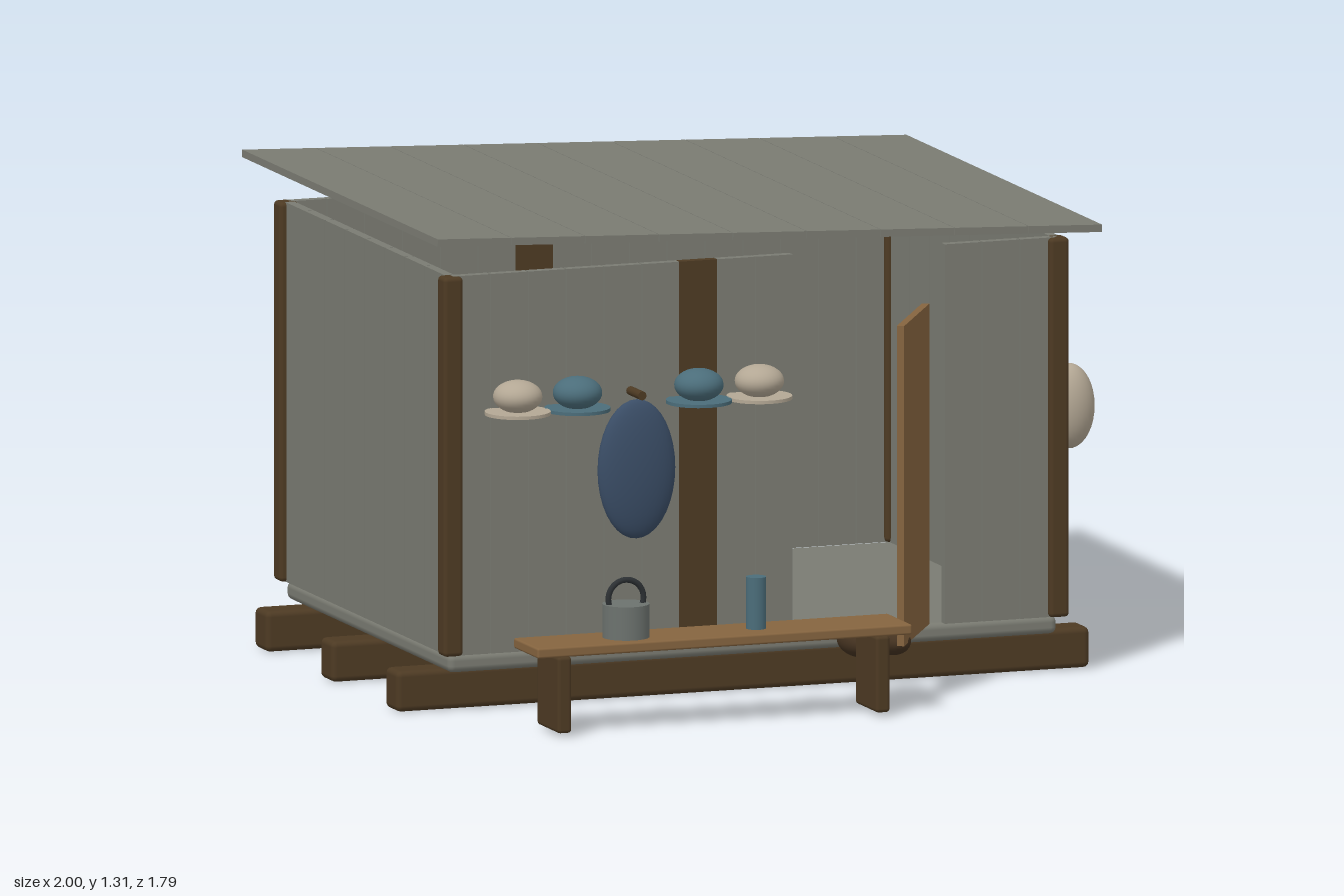
import * as THREE from 'three';
import { RoundedBoxGeometry } from 'three/addons/geometries/RoundedBoxGeometry.js';

const mat = (name, color) => {
  const m = new THREE.MeshStandardMaterial({ color });
  m.name = name;
  return m;
};

export function createModel() {
  const M = {
    plank: mat('weathered plank', 0x7a7b72),
    timber: mat('dark timber', 0x4d3a23),
    wood: mat('warm wood', 0x85643f),
    cream: mat('cream', 0xb3a794),
    teal: mat('teal', 0x4b6d7a),
    blue: mat('dark blue', 0x3a4d66),
    leather: mat('leather', 0x443220),
    metal: mat('metal', 0x6c726e),
    iron: mat('iron', 0x2c3033),
  };
  const model = new THREE.Group();
  model.name = 'cabin';

  const add = (name, geo, material, x, y, z, parent = model) => {
    const mesh = new THREE.Mesh(geo, material);
    mesh.name = name;
    mesh.position.set(x, y, z);
    parent.add(mesh);
    return mesh;
  };
  // Boxes given by their extents, sharp or with a small chamfer
  const box = (name, m, x0, x1, y0, y1, z0, z1, bevel = 0, parent = model) => {
    const s = [x1 - x0, y1 - y0, z1 - z0];
    const geo = bevel ? new RoundedBoxGeometry(...s, 2, bevel) : new THREE.BoxGeometry(...s);
    return add(name, geo, m, (x0 + x1) / 2, (y0 + y1) / 2, (z0 + z1) / 2, parent);
  };
  const ellipsoid = (name, m, x, y, z, rx, ry, rz, parent = model) => {
    const e = add(name, new THREE.SphereGeometry(1, 28, 18), m, x, y, z, parent);
    e.scale.set(rx, ry, rz);
    return e;
  };
  const group = (name) => {
    const g = new THREE.Group();
    g.name = name;
    model.add(g);
    return g;
  };

  // Skids and floor
  for (const z of [0.33, -0.16, -0.655]) box('skid', M.timber, -1, 0.97, 0, 0.11, z - 0.048, z + 0.048, 0.016);
  box('floor', M.plank, -0.88, 0.85, 0.11, 0.16, -0.782, 0.45, 0.018);

  // Walls of upright planks
  const Y0 = 0.16, Y1 = 1.185, gap = 0.0015;
  const X0 = -0.875, W = 0.1075;
  const longWall = (name, z, openFrom, openTo) => {
    const g = group(name);
    for (let i = 0; i < 16; i++) {
      if (i >= openFrom && i <= openTo) continue;
      const x = X0 + i * W, post = i === 6;
      box(post ? 'middle post' : 'plank', post ? M.timber : M.plank,
        x + gap, x + W - gap, Y0, Y1, z - 0.013, z + 0.013, 0, g);
    }
  };
  longWall('front wall', 0.452, 9, 12); // gap for the doorway
  longWall('back wall', -0.782, 99, 99);
  for (const x of [-0.875, 0.843]) {
    const g = group('side wall');
    for (let i = 0; i < 8; i++) {
      const z = -0.765 + i * 0.1503;
      box('plank', M.plank, x - 0.013, x + 0.013, Y0, Y1, z + gap, z + 0.1503 - gap, 0, g);
    }
  }
  for (const x of [-0.878, 0.845])
    for (const z of [0.455, -0.782])
      box('corner post', M.timber, x - 0.028, x + 0.028, Y0, Y1, z - 0.028, z + 0.028, 0.012);

  // Sloping plank roof
  const roof = group('roof');
  roof.position.set(-0.015, 1.26, -0.1625);
  roof.rotation.z = -Math.atan2(0.077, 1.89);
  for (let i = 0; i < 9; i++) {
    const x = -0.946 + i * 0.2102;
    box('roof plank', M.plank, x + 0.001, x + 0.2092, -0.01, 0.01, -0.7375, 0.7375, 0, roof);
  }

  // Open door, hinged on its right edge
  const door = group('door');
  door.position.set(0.468, 0, 0.47);
  door.rotation.y = Math.atan2(0.3, 0.185);
  box('door panel', M.wood, -0.353, 0, 0.165, 1.03, -0.01, 0.01, 0, door);

  // Bench
  const bench = group('bench');
  box('bench top', M.wood, -0.795, 0.27, 0.217, 0.245, 0.71, 0.893, 0.006, bench);
  for (const x of [-0.715, 0.19])
    box('bench leg', M.timber, x - 0.02, x + 0.02, 0.01, 0.217, 0.725, 0.888, 0.01, bench);

  // Pot with a hoop handle, and a tall cup
  add('pot', new THREE.CylinderGeometry(0.063, 0.063, 0.09, 28), M.metal, -0.51, 0.29, 0.802);
  add('pot handle', new THREE.TorusGeometry(0.05, 0.008, 10, 28), M.iron, -0.51, 0.349, 0.802);
  add('cup', new THREE.CylinderGeometry(0.027, 0.027, 0.14, 20), M.teal, -0.14, 0.315, 0.802);

  // Hats hanging along the front wall
  [[-0.715, M.cream], [-0.545, M.teal], [-0.2, M.teal], [-0.028, M.cream]].forEach(([x, m]) => {
    const hat = group('hat');
    ellipsoid('hat crown', m, x, 0.862, 0.53, 0.066, 0.044, 0.066, hat);
    add('hat brim', new THREE.CylinderGeometry(0.088, 0.088, 0.009, 32), m, x, 0.818, 0.53, hat);
  });

  // Hanging bag on a peg
  ellipsoid('bag', M.blue, -0.37, 0.642, 0.51, 0.11, 0.188, 0.04);
  add('peg', new THREE.CylinderGeometry(0.012, 0.012, 0.09, 12), M.timber, -0.37, 0.846, 0.51).rotation.x = Math.PI / 2;

  // Bundle on the side wall and shoes by the door
  ellipsoid('bundle', M.cream, 0.926, 0.703, 0.333, 0.07, 0.115, 0.064);
  for (const x of [0.208, 0.3]) ellipsoid('shoe', M.leather, x, 0.164, 0.645, 0.048, 0.042, 0.095);

  return model;
}
